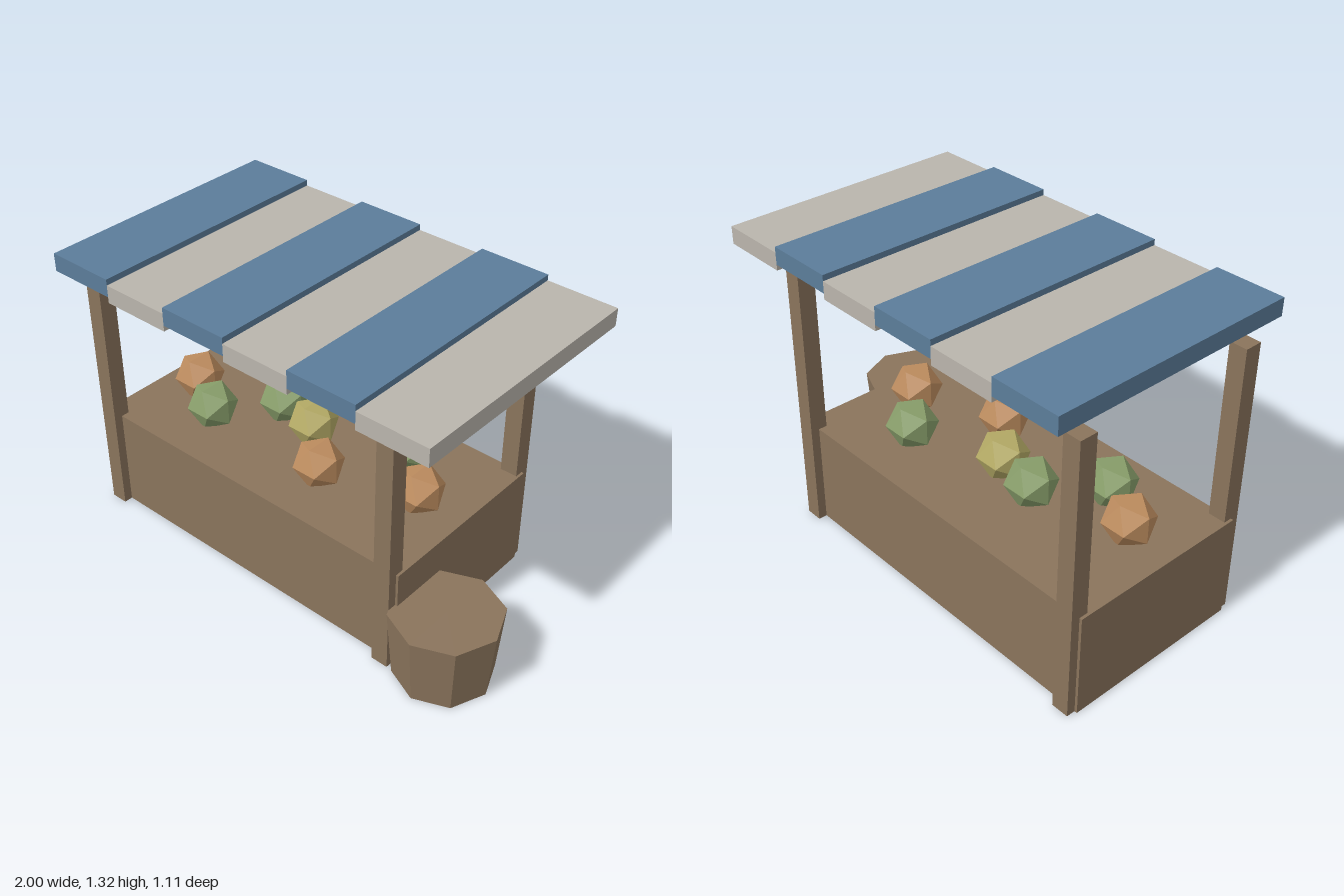
import * as THREE from 'three';

const mat = (name, color) => {
  const m = new THREE.MeshStandardMaterial({ color });
  m.name = name;
  return m;
};

export function createModel() {
  const group = new THREE.Group();
  group.name = 'marketStall';

  const wood = mat('wood', 0x8a745c);
  const blue = mat('blueCloth', 0x5c7d9a);
  const cream = mat('paleCloth', 0xbab5ad);
  const orange = mat('orangeProduce', 0xbe8d5f);
  const green = mat('greenProduce', 0x899f6b);
  const yellow = mat('yellowProduce', 0xb5ab66);

  const add = (name, geometry, material, x, y, z) => {
    const mesh = new THREE.Mesh(geometry, material);
    mesh.name = name;
    mesh.position.set(x, y, z);
    group.add(mesh);
    return mesh;
  };

  // Counter
  add('counter', new THREE.BoxGeometry(1.615, 0.455, 0.81), wood, -0.1925, 0.2275, -0.05);

  // Corner posts
  const postGeo = new THREE.BoxGeometry(0.076, 1.215, 0.076);
  for (const x of [-0.95, 0.566])
    for (const z of [0.356, -0.455])
      add(z > 0 ? 'frontPost' : 'backPost', postGeo, wood, x, 0.6075, z);

  // Awning: alternating raised and lowered slats
  const slatWidth = 0.3035;
  const slatGeo = new THREE.BoxGeometry(slatWidth, 0.076, 1.11);
  for (let i = 0; i < 6; i++) {
    const raised = i % 2 === 0;
    add('awningSlat', slatGeo, raised ? blue : cream,
      -0.95 + slatWidth * (i + 0.5), raised ? 1.279 : 1.254, 0);
  }

  // Row of faceted produce, scattered in depth
  const produceGeo = new THREE.IcosahedronGeometry(0.11, 0).rotateY(Math.PI / 2);
  const produce = [
    [orange, -0.01], [green, 0.11], [green, -0.12], [yellow, -0.08],
    [orange, 0.115], [green, -0.21], [orange, -0.02],
  ];
  produce.forEach(([material, z], i) =>
    add('produce', produceGeo, material, -0.8 + i * 0.2025, 0.534, z));

  // Eight-sided tub beside the counter
  const tubGeo = new THREE.CylinderGeometry(0.227, 0.202, 0.304, 8).toNonIndexed();
  tubGeo.computeVertexNormals();
  add('tub', tubGeo, wood, 0.773, 0.152, 0.255);

  return group;
}
